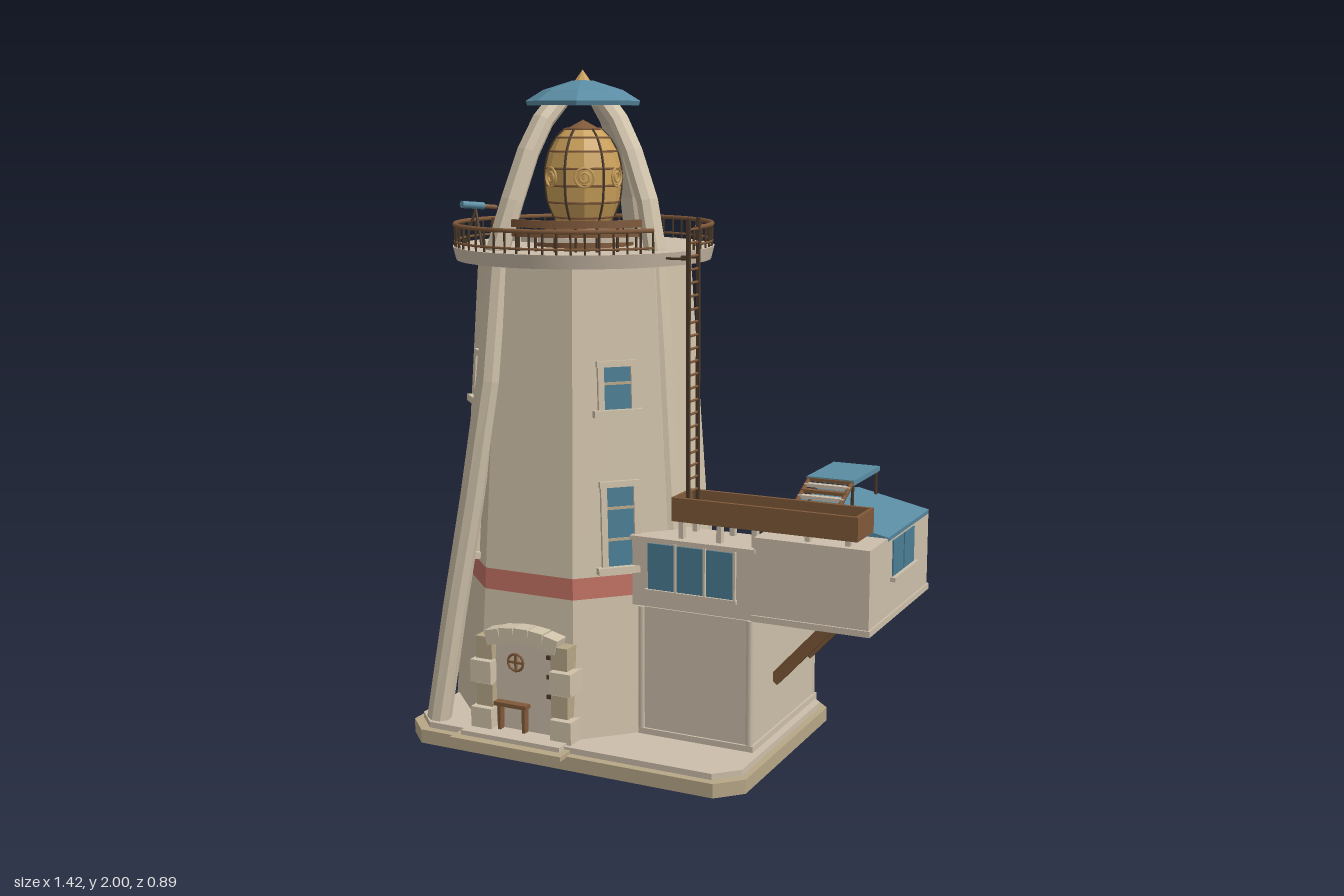
import * as THREE from 'three';

const mat = (name, color) => Object.assign(new THREE.MeshStandardMaterial({ color }), { name });
const M = {
  wall: mat('wall plaster', 0xd0c2aa), room: mat('room plaster', 0xcdbeaa), stone: mat('stone', 0xb8a787),
  red: mat('red band', 0xc07062), blue: mat('roof blue', 0x5a8ca3), glass: mat('window glass', 0x4a7d94),
  wood: mat('wood', 0x80593a), iron: mat('dark iron', 0x4b3a2a), gold: mat('brass', 0xcaa05a),
};
const DEG = Math.PI / 180;
const V = (x, y, z) => new THREE.Vector3(x, y, z);

function flat(geo) {
  const g = geo.index ? geo.toNonIndexed() : geo;
  g.computeVertexNormals();
  return g;
}
function add(parent, name, geo, material, x = 0, y = 0, z = 0) {
  const m = new THREE.Mesh(geo, material);
  m.name = name;
  m.position.set(x, y, z);
  parent.add(m);
  return m;
}
// box given by its minimum and maximum corners
const box = (p, name, m, x0, x1, y0, y1, z0, z1) =>
  add(p, name, new THREE.BoxGeometry(x1 - x0, y1 - y0, z1 - z0), m, (x0 + x1) / 2, (y0 + y1) / 2, (z0 + z1) / 2);
// round or square bar between two points
function bar(p, name, m, a, b, r, sides = 6) {
  const d = b.clone().sub(a);
  const mesh = add(p, name, new THREE.CylinderGeometry(r, r, d.length(), sides), m);
  mesh.position.copy(a).add(b).multiplyScalar(0.5);
  mesh.quaternion.setFromUnitVectors(V(0, 1, 0), d.normalize());
  return mesh;
}
function group(parent, name, x = 0, y = 0, z = 0) {
  const g = new THREE.Group();
  g.name = name;
  g.position.set(x, y, z);
  parent.add(g);
  return g;
}
// horizontal slab following an arc, angles from +x towards +z
function arcSlab(r0, r1, a0, a1, h) {
  const s = new THREE.Shape();
  s.absarc(0, 0, r1, a0, a1, false);
  s.absarc(0, 0, r0, a1, a0, true);
  return flat(new THREE.ExtrudeGeometry(s, { depth: h, bevelEnabled: false, curveSegments: 12 }).rotateX(Math.PI / 2));
}
// chamfered rib swept through points around the tower axis
function ribGeometry(points, w, d) {
  const c = [[1, -0.4], [1, 0.4], [0.5, 1], [-0.5, 1], [-1, 0.4], [-1, -0.4], [-0.5, -1], [0.5, -1]];
  const rings = points.map((p, k) => {
    const T = points[Math.min(k + 1, points.length - 1)].clone().sub(points[Math.max(k - 1, 0)]).normalize();
    const S = V(-p.z, 0, p.x).normalize();
    S.addScaledVector(T, -S.dot(T)).normalize();
    const N = T.clone().cross(S);
    const grow = 1 + 0.25 * k / points.length;
    return c.map(([a, b]) => p.clone().addScaledVector(S, a * w * grow).addScaledVector(N, b * d * grow));
  });
  const out = [], n = c.length;
  const tri = (...v) => v.forEach(q => out.push(q.x, q.y, q.z));
  for (let k = 0; k < rings.length - 1; k++) for (let i = 0; i < n; i++) {
    const j = (i + 1) % n, A = rings[k], B = rings[k + 1];
    tri(A[i], A[j], B[j]);
    tri(A[i], B[j], B[i]);
  }
  const first = rings[0], last = rings[rings.length - 1];
  for (let i = 1; i < n - 1; i++) {
    tri(first[0], first[i + 1], first[i]);
    tri(last[0], last[i], last[i + 1]);
  }
  const g = new THREE.BufferGeometry();
  g.setAttribute('position', new THREE.Float32BufferAttribute(out, 3));
  g.computeVertexNormals();
  return g;
}

const apothem = y => 0.387 - 0.063 * (y - 0.05);
const octagon = (y0, y1) => {
  const k = Math.cos(Math.PI / 8);
  return flat(new THREE.CylinderGeometry(apothem(y1) / k, apothem(y0) / k, y1 - y0, 8).rotateY(Math.PI / 8));
};
// window lying on a tower facet
function facetWindow(tower, deg, y0, y1, w, rails) {
  const y = (y0 + y1) / 2, r = apothem(y), a = deg * DEG, h = y1 - y0;
  const g = group(tower, 'towerWindow', r * Math.cos(a), y, r * Math.sin(a));
  g.rotation.set(-0.063, Math.PI / 2 - a, 0, 'YXZ');
  box(g, 'windowGlass', M.glass, -w / 2, w / 2, -h / 2, h / 2, -0.005, 0.004);
  for (const s of [-1, 1]) box(g, 'windowJamb', M.wall, s * w / 2 - 0.009, s * w / 2 + 0.009, -h / 2, h / 2, -0.01, 0.014);
  box(g, 'windowHead', M.wall, -w / 2 - 0.012, w / 2 + 0.012, h / 2 - 0.008, h / 2 + 0.01, -0.01, 0.016);
  box(g, 'windowSill', M.wall, -w / 2 - 0.025, w / 2 + 0.025, -h / 2 - 0.012, -h / 2 + 0.008, -0.01, 0.028);
  for (const t of rails) box(g, 'windowRail', M.stone, -w / 2, w / 2, h * t - 0.004, h * t + 0.004, 0, 0.009);
}

function buildBase(root) {
  const plinth = (x0, x1, z0, z1, c, h) => {
    const s = new THREE.Shape([[x0 + c, z0], [x1 - c, z0], [x1, z0 + c], [x1, z1 - c], [x1 - c, z1], [x0 + c, z1], [x0, z1 - c], [x0, z0 + c]]
      .map(p => new THREE.Vector2(...p)));
    return flat(new THREE.ExtrudeGeometry(s, { depth: h, bevelEnabled: false }).rotateX(Math.PI / 2));
  };
  add(root, 'basePlinth', plinth(-0.7, 0.405, -0.37, 0.41, 0.07, 0.042), M.stone, 0, 0.042, 0);
  add(root, 'baseStep', plinth(-0.68, 0.385, -0.355, 0.385, 0.065, 0.02), M.room, 0, 0.06, 0);
  box(root, 'doorStep', M.stone, -0.505, -0.13, 0.038, 0.052, 0.3, 0.445);
  box(root, 'doorStep', M.room, -0.485, -0.15, 0.05, 0.066, 0.3, 0.415);
}

function buildDoor(root) {
  const g = group(root, 'entrance', -0.305, 0, 0);
  box(g, 'doorPanel', M.room, -0.105, 0.105, 0.06, 0.35, 0.3, 0.338);
  for (const s of [-1, 1]) for (let i = 0; i < 4; i++) {
    const w = i % 2 ? 0.055 : 0.07, y = 0.06 + i * 0.073;
    const b = box(g, 'jambStone', i % 2 ? M.stone : M.wall, -w / 2, w / 2, y, y + 0.068, 0.29, i % 2 ? 0.362 : 0.372);
    b.position.x = s * (0.1 + w / 2);
  }
  for (let i = -2; i <= 2; i++) {
    const b = box(g, 'archStone', M.wall, -0.024, 0.024, 0, 0.045, 0.29, 0.365);
    b.position.set(i * 0.048, 0.365 - 0.007 * i * i / 2, b.position.z);
    b.rotation.z = -i * 0.12;
  }
  add(g, 'doorWheel', new THREE.TorusGeometry(0.026, 0.004, 6, 16), M.wood, -0.03, 0.275, 0.343);
  box(g, 'wheelSpoke', M.wood, -0.056, -0.004, 0.272, 0.278, 0.338, 0.346);
  box(g, 'wheelSpoke', M.wood, -0.033, -0.027, 0.249, 0.301, 0.338, 0.346);
  box(g, 'benchSeat', M.wood, -0.095, 0.015, 0.14, 0.152, 0.33, 0.365);
  for (const x of [-0.085, -0.002]) box(g, 'benchLeg', M.wood, x, x + 0.01, 0.066, 0.14, 0.335, 0.36);
  for (const y of [0.18, 0.24, 0.3]) box(g, 'doorHinge', M.iron, 0.075, 0.1, y, y + 0.012, 0.335, 0.345);
}

function buildTower(root) {
  const t = group(root, 'tower', -0.31, 0, -0.055);
  [['lowerWall', 0.05, 0.477, M.wall], ['redBand', 0.477, 0.54, M.red], ['upperWall', 0.54, 1.44, M.wall]]
    .forEach(([n, a, b, m]) => add(t, n, octagon(a, b), m, 0, (a + b) / 2, 0));
  for (const a of [45, 135, 225]) {
    facetWindow(t, a, 1.02, 1.16, 0.1, [0.1]);
    facetWindow(t, a, 0.56, 0.81, 0.1, [0.22, -0.15]);
  }
  facetWindow(t, 270, 0.58, 0.665, 0.14, []);
  // plain door out to the terrace
  const r = apothem(0.56) * Math.SQRT1_2, d = group(t, 'terraceDoor', r, 0.56, -r);
  d.rotation.y = Math.PI * 0.75;
  box(d, 'doorSurround', M.wall, -0.09, 0.09, -0.11, 0.1, -0.02, 0.03);
  // gallery deck and railing
  add(t, 'deck', new THREE.CylinderGeometry(0.395, 0.385, 0.04, 64), M.room, 0, 1.46, 0);
  const a0 = 31, arc = 335;
  for (const [y, q] of [[1.495, 0.004], [1.545, 0.007]])
    add(t, 'galleryRail', new THREE.TorusGeometry(0.388, q, 6, 80, arc * DEG).rotateZ(a0 * DEG).rotateX(Math.PI / 2), M.wood, 0, y, 0);
  for (let i = 0; i <= 56; i++) {
    const a = (a0 + arc * i / 56) * DEG;
    add(t, 'baluster', new THREE.CylinderGeometry(0.0035, 0.0035, 0.07, 5), M.iron, 0.388 * Math.cos(a), 1.513, 0.388 * Math.sin(a));
  }
  // curved bench
  for (let i = 0; i < 8; i++) {
    const s = (30 + i * 12) * DEG;
    add(t, 'benchWedge', arcSlab(0.18, 0.285, s, s + 11 * DEG, 0.014), M.room, 0, 1.52, 0);
    bar(t, 'benchPost', M.iron, V(0.29 * Math.cos(s), 1.48, 0.29 * Math.sin(s)), V(0.29 * Math.cos(s), 1.56, 0.29 * Math.sin(s)), 0.004);
  }
  add(t, 'benchBack', arcSlab(0.285, 0.297, 27 * DEG, 127 * DEG, 0.022), M.wood, 0, 1.57, 0);
  add(t, 'benchBack', arcSlab(0.285, 0.295, 27 * DEG, 127 * DEG, 0.014), M.wood, 0, 1.535, 0);
  // ribs carrying the roof
  const rib = (deg, prof) => prof.map(([r, y]) => V(r * Math.cos(deg * DEG), y, r * Math.sin(deg * DEG)));
  const arch = [[0.09, 1.91], [0.15, 1.85], [0.205, 1.76], [0.265, 1.62], [0.295, 1.48]];
  add(t, 'backRib', ribGeometry(rib(-84, [...arch, [0.313, 1.28]]), 0.033, 0.024), M.wall);
  add(t, 'sideRib', ribGeometry(rib(17, [...arch, [0.32, 1.2], [0.36, 0.62]]), 0.031, 0.024), M.wall);
  add(t, 'longRib', ribGeometry([...rib(113, arch.slice(0, 4)), V(-0.13, 1.48, 0.285), V(-0.15, 1.1, 0.32), V(-0.2, 0.75, 0.34),
    V(-0.255, 0.4, 0.365), V(-0.305, 0.05, 0.39)], 0.034, 0.026), M.wall);
  // roof
  const roof = [[0, 1.895], [0.168, 1.895], [0.172, 1.908], [0.12, 1.94], [0.03, 1.968], [0, 1.968]].map(p => new THREE.Vector2(...p));
  add(t, 'roof', flat(new THREE.LatheGeometry(roof, 8).rotateY(Math.PI / 8)), M.blue);
  add(t, 'finial', flat(new THREE.ConeGeometry(0.033, 0.045, 8)), M.gold, 0, 1.9775, 0);
  buildLantern(t);
  // telescope on a tripod
  const s = group(t, 'telescope', -0.27, 1.48, 0.18);
  for (const a of [30, 150, 270]) bar(s, 'tripodLeg', M.iron, V(0.035 * Math.cos(a * DEG), 0, 0.035 * Math.sin(a * DEG)), V(0, 0.11, 0), 0.004);
  bar(s, 'telescopeTube', M.blue, V(-0.02, 0.125, 0.045), V(0.012, 0.118, -0.025), 0.011, 10);
  bar(s, 'telescopeEyepiece', M.wood, V(0.01, 0.118, -0.02), V(0.032, 0.113, -0.065), 0.007, 8);
}

function buildLantern(t) {
  const l = group(t, 'lantern');
  add(l, 'lanternPedestal', new THREE.CylinderGeometry(0.15, 0.15, 0.032, 32), M.wood, 0, 1.496, 0);
  add(l, 'lanternPedestal', new THREE.CylinderGeometry(0.11, 0.13, 0.025, 32), M.wood, 0, 1.524, 0);
  const prof = [[0.075, 1.535], [0.09, 1.565], [0.108, 1.61], [0.114, 1.66], [0.114, 1.71], [0.102, 1.76], [0.08, 1.8], [0.055, 1.825]];
  const closed = [[0, 1.535], ...prof, [0, 1.825]].map(p => new THREE.Vector2(...p));
  add(l, 'lens', flat(new THREE.LatheGeometry(closed, 12)), M.gold);
  prof.forEach(([r, y]) => add(l, 'lensBand', new THREE.TorusGeometry(r * 0.985, 0.004, 5, 12).rotateX(Math.PI / 2).rotateY(Math.PI / 2), M.wood, 0, y, 0));
  for (let i = 0; i < 6; i++) {
    const a = i * 60 * DEG;
    const path = new THREE.CatmullRomCurve3(prof.map(([r, y]) => V(r * Math.sin(a), y, r * Math.cos(a))));
    add(l, 'lensRib', new THREE.TubeGeometry(path, 14, 0.004, 5), M.iron);
    const e = group(l, 'bullseye');
    e.rotation.y = a + 30 * DEG;
    for (const r of [0.014, 0.028]) add(e, 'bullseyeRing', new THREE.TorusGeometry(r, 0.004, 5, 16), M.gold, 0, 1.685, 0.113);
  }
  add(l, 'lanternCap', new THREE.ConeGeometry(0.055, 0.03, 12), M.wood, 0, 1.838, 0);
}

function buildAnnex(root) {
  const g = group(root, 'annex');
  box(g, 'lowerRoom', M.room, 0, 0.355, 0.05, 0.45, -0.315, 0.185);
  box(g, 'lowerRoomFooting', M.room, -0.005, 0.362, 0.05, 0.078, -0.322, 0.192);
  for (const x of [0.002, 0.347]) for (const z of [-0.31, 0.18]) bar(g, 'cornerTrim', M.room, V(x, 0.07, z), V(x, 0.45, z), 0.012, 8);
  box(g, 'terraceFloor', M.stone, -0.05, 0.36, 0.448, 0.457, -0.32, 0.03);
  box(g, 'frontRoom', M.room, -0.03, 0.36, 0.45, 0.655, 0.03, 0.18);
  box(g, 'sideRoom', M.room, 0.355, 0.7, 0.45, 0.695, -0.352, 0.18);
  box(g, 'frontRoomEave', M.room, -0.035, 0.36, 0.648, 0.66, 0.025, 0.187);
  box(g, 'sideRoomSill', M.room, 0.35, 0.705, 0.45, 0.468, -0.357, 0.186);
  // windows
  for (const x of [0.065, 0.158, 0.252]) {
    box(g, 'frontRoomWindow', M.glass, x - 0.042, x + 0.042, 0.505, 0.642, 0.178, 0.185);
    box(g, 'windowRail', M.room, x + 0.043, x + 0.05, 0.5, 0.648, 0.178, 0.19);
  }
  box(g, 'frontRoomSill', M.room, 0.015, 0.305, 0.493, 0.505, 0.178, 0.192);
  box(g, 'terraceWindow', M.glass, 0.13, 0.29, 0.5, 0.63, 0.023, 0.031);
  for (const z of [-0.16, -0.06]) box(g, 'sideRoomWindow', M.glass, 0.698, 0.704, 0.575, 0.68, z - 0.046, z + 0.046);
  box(g, 'sideWindowSill', M.room, 0.698, 0.715, 0.562, 0.575, -0.22, 0);
  // sloping roof of the side room
  const s = new THREE.Shape([[0.355, 0.69], [0.7, 0.685], [0.702, 0.698], [0.48, 0.745], [0.355, 0.735]].map(p => new THREE.Vector2(...p)));
  add(g, 'sideRoof', flat(new THREE.ExtrudeGeometry(s, { depth: 0.38, bevelEnabled: false })), M.blue, 0, 0, -0.35);
  // long trough on the front roof
  const t = group(g, 'roofTrough');
  box(t, 'troughFloor', M.blue, 0.09, 0.655, 0.712, 0.72, 0.03, 0.16);
  for (const z of [0.028, 0.15]) box(t, 'troughSide', M.wood, 0.088, 0.657, 0.71, 0.78, z, z + 0.012);
  for (const x of [0.088, 0.647]) box(t, 'troughEnd', M.wood, x, x + 0.01, 0.71, 0.78, 0.028, 0.162);
  for (const x of [0.11, 0.23, 0.34, 0.5, 0.62]) for (const z of [0.045, 0.14]) box(t, 'troughFoot', M.room, x, x + 0.015, 0.65, 0.712, z, z + 0.02);
  // steps up to a raised panel
  box(g, 'raisedPanel', M.blue, 0.398, 0.546, 0.803, 0.818, -0.345, -0.115);
  for (const x of [0.405, 0.538]) {
    for (const z of [-0.335, -0.125]) bar(g, 'panelPost', M.iron, V(x, 0.72, z), V(x, 0.805, z), 0.005);
    bar(g, 'stairRail', M.wood, V(x, 0.74, 0.03), V(x, 0.81, -0.12), 0.007);
  }
  for (let i = 0; i < 6; i++) {
    const z = 0.02 - i * 0.026, y = 0.745 + i * 0.012;
    box(g, 'stairTread', i % 2 ? M.wood : M.room, 0.402, 0.542, y, y + 0.01, z - 0.022, z);
  }
  // struts under the overhang
  for (const z of [0.005, -0.265]) {
    const b = add(g, 'strut', new THREE.BoxGeometry(0.3, 0.035, 0.04), M.wood, 0.455, 0.335, z);
    b.rotation.z = Math.atan2(0.22, 0.2);
  }
  // ladder to the gallery
  const l = group(root, 'ladder', 0.12, 0, 0.083);
  for (const z of [-0.033, 0.033]) box(l, 'ladderStile', M.iron, -0.005, 0.005, 0.72, 1.58, z - 0.005, z + 0.005);
  for (let i = 0; i < 22; i++) bar(l, 'ladderRung', M.wood, V(0, 0.75 + i * 0.038, -0.033), V(0, 0.75 + i * 0.038, 0.033), 0.004);
  for (const z of [-0.033, 0.033]) bar(l, 'ladderBracket', M.iron, V(-0.07, 1.465, z), V(0, 1.465, z), 0.004);
}

export function createModel() {
  const root = new THREE.Group();
  root.name = 'lighthouse';
  buildBase(root);
  buildTower(root);
  buildDoor(root);
  buildAnnex(root);
  return root;
}
